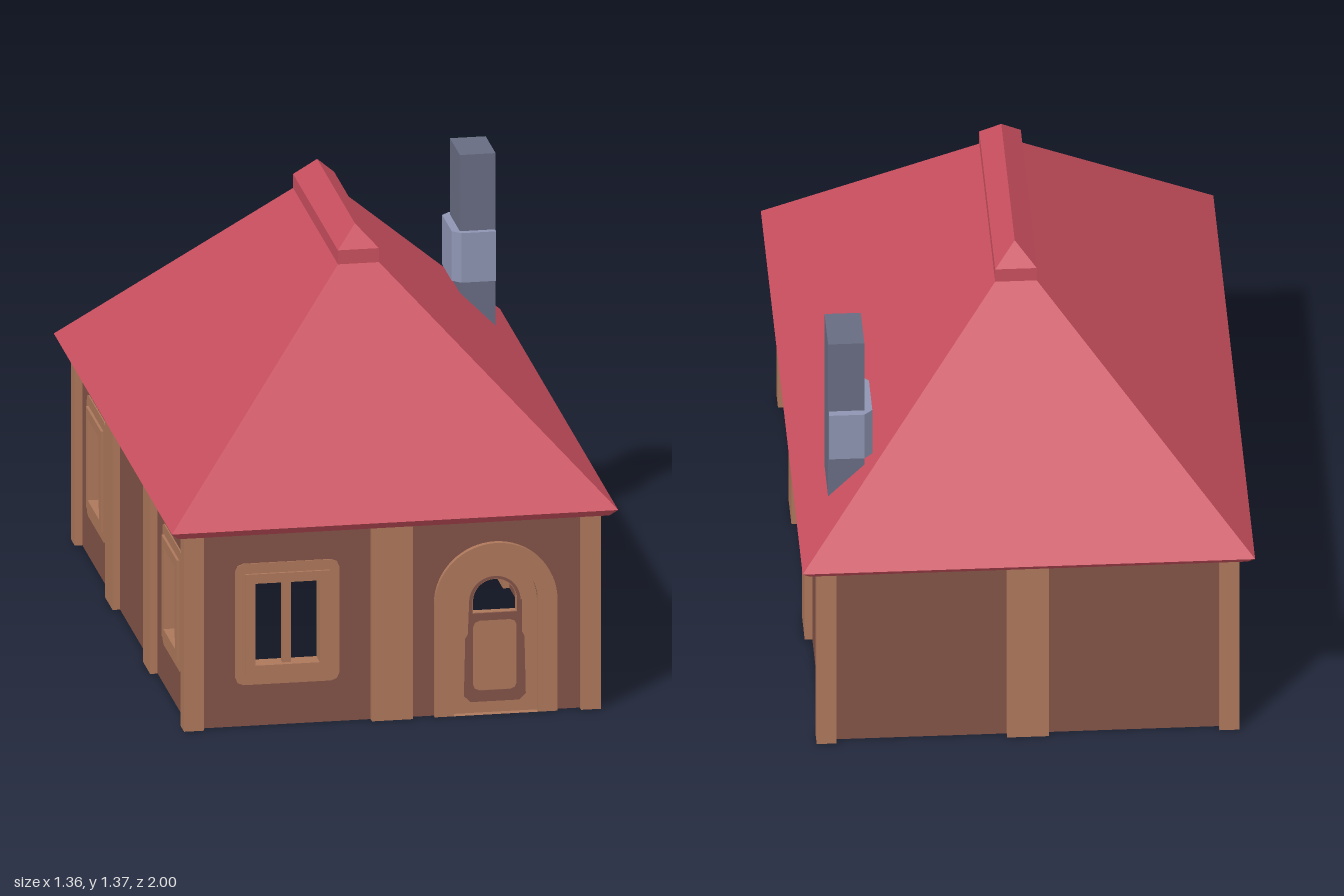
import * as THREE from 'three';

const mat = (name, color) => Object.assign(new THREE.MeshStandardMaterial({ color }), { name });

// Distances from a wall's outer face: wall thickness
const T = 0.037;
const EAVE = 0.618;

// Rectangle path with optional cut corners
function rect(x0, y0, x1, y1, c = 0, Type = THREE.Shape) {
  const pts = c
    ? [[x0 + c, y0], [x1 - c, y0], [x1 - c * 0.3, y0 + c * 0.3], [x1, y0 + c], [x1, y1 - c], [x1 - c * 0.3, y1 - c * 0.3],
      [x1 - c, y1], [x0 + c, y1], [x0 + c * 0.3, y1 - c * 0.3], [x0, y1 - c], [x0, y0 + c], [x0 + c * 0.3, y0 + c * 0.3]]
    : [[x0, y0], [x1, y0], [x1, y1], [x0, y1]];
  return new Type(pts.map(([x, y]) => new THREE.Vector2(x, y)));
}

// Round-headed opening: centre, half width, bottom and springing height
function arch(cx, r, y0, ySpring, Type = THREE.Shape) {
  const s = new Type();
  s.moveTo(cx - r, y0);
  s.lineTo(cx + r, y0);
  s.lineTo(cx + r, ySpring);
  s.absarc(cx, ySpring, r, 0, Math.PI, false);
  s.lineTo(cx - r, y0);
  return s;
}

// Extrude a shape between two depths
function slab(name, shape, holes, z0, z1, material) {
  shape.holes.push(...holes);
  const g = new THREE.ExtrudeGeometry(shape, { depth: z1 - z0, bevelEnabled: false, curveSegments: 16 });
  g.translate(0, 0, z0);
  const m = new THREE.Mesh(g, material);
  m.name = name;
  return m;
}

function box(name, x0, x1, y0, y1, z0, z1, material) {
  const m = new THREE.Mesh(new THREE.BoxGeometry(x1 - x0, y1 - y0, z1 - z0), material);
  m.position.set((x0 + x1) / 2, (y0 + y1) / 2, (z0 + z1) / 2);
  m.name = name;
  return m;
}

// Solid skinned over stacked rectangles [halfX, halfZ, y]
function stackedRects(levels) {
  const ring = ([x, z, y]) => [[-x, y, z], [x, y, z], [x, y, -z], [-x, y, -z]].map((p) => new THREE.Vector3(...p));
  const pos = [];
  const tri = (a, b, c) => {
    if (new THREE.Triangle(a, b, c).getArea() > 1e-7) [a, b, c].forEach((p) => pos.push(p.x, p.y, p.z));
  };
  const quad = (a, b, c, d) => { tri(a, b, c); tri(a, c, d); };
  const rings = levels.map(ring);
  for (let i = 0; i + 1 < rings.length; i++) {
    for (let k = 0; k < 4; k++) {
      const n = (k + 1) % 4;
      quad(rings[i][k], rings[i][n], rings[i + 1][n], rings[i + 1][k]);
    }
  }
  const [a, b, c, d] = rings[0];
  quad(d, c, b, a);
  const e = rings[rings.length - 1];
  quad(e[0], e[1], e[2], e[3]);
  const g = new THREE.BufferGeometry();
  g.setAttribute('position', new THREE.Float32BufferAttribute(pos, 3));
  g.computeVertexNormals();
  return g;
}

export function createModel() {
  const wallBrown = mat('wallBrown', 0x825347);
  const timber = mat('timber', 0xad775b);
  const roofRed = mat('roofRed', 0xc94f5e);
  const stone = mat('chimneyStone', 0x686c82);
  const paleStone = mat('collarStone', 0x8f95b3);
  const house = new THREE.Group();
  house.name = 'house';

  // Window: painted surround, raised frame and a mullion, seen from both sides
  function makeWindow(cx) {
    const g = new THREE.Group();
    g.name = 'window';
    const outer = (Type) => rect(cx - 0.128, 0.162, cx + 0.128, 0.48, 0, Type);
    const opening = rect(cx - 0.098, 0.192, cx + 0.098, 0.45, 0, THREE.Path);
    g.add(
      slab('windowSurround', rect(cx - 0.159, 0.13, cx + 0.159, 0.512, 0.025), [outer(THREE.Path)], -T - 0.004, 0.004, timber),
      slab('windowFrame', outer(THREE.Shape), [opening], -T - 0.012, 0.012, timber),
      box('mullion', cx - 0.013, cx + 0.013, 0.19, 0.452, -T / 2 - 0.012, -T / 2 + 0.012, timber),
    );
    return g;
  }

  // Arched door with a fanlight and painted panel border
  function makeDoor(cx) {
    const g = new THREE.Group();
    g.name = 'door';
    const border = new THREE.Shape();
    border.moveTo(cx - 0.075, 0.035);
    border.lineTo(cx + 0.075, 0.035);
    border.lineTo(cx + 0.094, 0.055);
    border.lineTo(cx + 0.09, 0.235);
    border.lineTo(cx + 0.082, 0.25);
    border.lineTo(cx + 0.082, 0.35);
    border.absarc(cx, 0.35, 0.078, 0, Math.PI, false);
    border.lineTo(cx - 0.082, 0.25);
    border.lineTo(cx - 0.09, 0.235);
    border.lineTo(cx - 0.094, 0.055);
    const panel = rect(cx - 0.067, 0.07, cx + 0.067, 0.29, 0.02, THREE.Path);
    g.add(
      slab('doorArch', arch(cx, 0.187, 0, 0.352), [arch(cx, 0.128, 0, 0.352, THREE.Path)], -T - 0.018, 0.018, timber),
      slab('doorLeaf', arch(cx, 0.128, 0, 0.352), [arch(cx, 0.066, 0.315, 0.352, THREE.Path)], -T + 0.006, -0.006, timber),
      slab('doorBorder', border, [panel, arch(cx, 0.068, 0.313, 0.352, THREE.Path)], -T + 0.003, -0.003, wallBrown),
    );
    return g;
  }

  // Wall in its own frame: x along the wall, z = 0 on the outer face
  function addWall(name, half, dist, angle, { windows = [], posts = [], doors = [] }) {
    const holder = new THREE.Group();
    holder.name = name;
    holder.rotation.y = angle;
    const g = new THREE.Group();
    g.position.z = dist;
    holder.add(g);
    const shape = new THREE.Shape();
    // Outline steps round the doorway, which reaches the ground
    shape.moveTo(-half, 0);
    for (const d of doors) {
      shape.lineTo(d - 0.128, 0);
      shape.lineTo(d - 0.128, 0.352);
      shape.absarc(d, 0.352, 0.128, Math.PI, 0, true);
      shape.lineTo(d + 0.128, 0);
    }
    shape.lineTo(half, 0);
    shape.lineTo(half, EAVE);
    shape.lineTo(-half, EAVE);
    const holes = windows.map((c) => rect(c - 0.128, 0.162, c + 0.128, 0.48, 0, THREE.Path));
    g.add(slab('wallPanel', shape, holes, -T, 0, wallBrown));
    windows.forEach((c) => g.add(makeWindow(c)));
    doors.forEach((c) => g.add(makeDoor(c)));
    posts.forEach((c) => g.add(box('wallPost', c - 0.0625, c + 0.0625, 0, EAVE, -T - 0.02, 0.023, timber)));
    house.add(holder);
  }
  const H = Math.PI / 2;
  addWall('frontWall', 0.59, 0.932, 0, { windows: [-0.317], posts: [0], doors: [0.317] });
  addWall('backWall', 0.59, 0.932, Math.PI, { posts: [0] });
  addWall('leftWall', 0.91, 0.612, H, { windows: [0], posts: [-0.318, 0.318] });
  addWall('rightWall', 0.91, 0.612, -H, { windows: [-0.64, 0.64], posts: [-0.318, 0.318] });

  // Corner posts
  for (const x of [-0.605, 0.605]) {
    for (const z of [-0.925, 0.925]) {
      house.add(box('cornerPost', x - 0.03, x + 0.03, 0, EAVE, z - 0.03, z + 0.03, timber));
    }
  }

  // Ceiling, hipped roof and ridge cap
  house.add(box('ceiling', -0.58, 0.58, 0.607, 0.616, -0.9, 0.9, wallBrown));
  const roof = new THREE.Mesh(stackedRects([[0.657, 0.977, 0.615], [0.68, 1, 0.638], [0.0625, 0.38, 1.258]]), roofRed);
  roof.name = 'roof';
  const cap = new THREE.Mesh(stackedRects([[0.0625, 0.38, 1.257], [0.0625, 0.38, 1.302], [0, 0.32, 1.365]]), roofRed);
  cap.name = 'ridgeCap';
  house.add(roof, cap);

  // Chimney with a collar round three sides
  house.add(box('chimney', 0.477, 0.586, 0.72, 1.276, -0.72, -0.552, stone));
  const collarPts = [[0.584, 0.532], [0.584, 0.744], [0.478, 0.744], [0.453, 0.719], [0.453, 0.557], [0.478, 0.532]];
  const collar = slab('chimneyCollar', new THREE.Shape(collarPts.map(([x, z]) => new THREE.Vector2(x, z))), [], 0.88, 1.036, paleStone);
  collar.rotation.x = -H;
  house.add(collar);
  return house;
}
